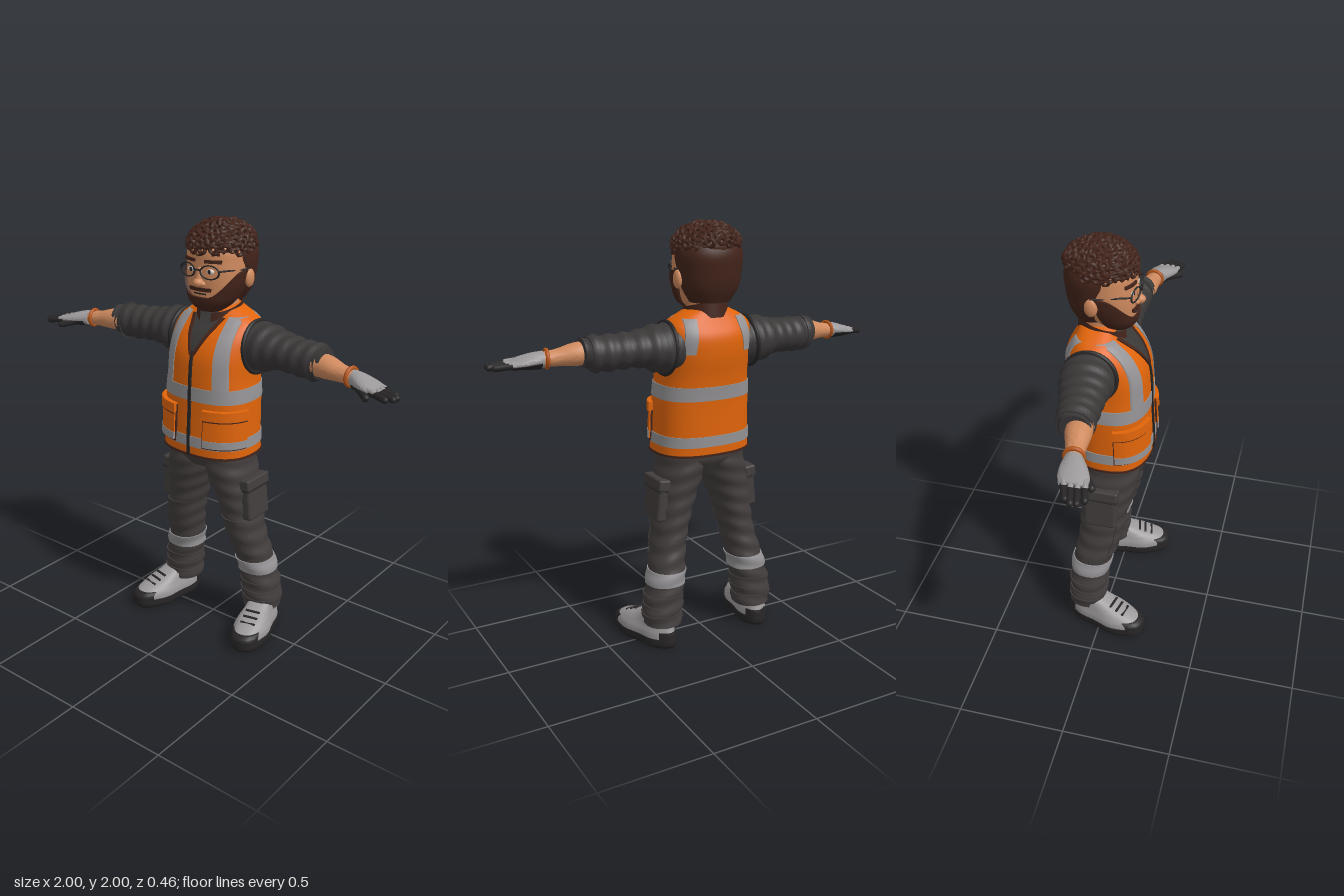
import * as THREE from 'three';
import { mergeGeometries, toCreasedNormals } from 'three/addons/utils/BufferGeometryUtils.js';
import { RoundedBoxGeometry } from 'three/addons/geometries/RoundedBoxGeometry.js';

const { sin, cos, abs, PI, min, max } = Math;
const TAU = PI * 2, lerp = THREE.MathUtils.lerp;
const paint = (name, color, side = THREE.FrontSide) => {
  const m = new THREE.MeshStandardMaterial({ color, side });
  m.name = name;
  return m;
};

// rows of [key, ...values] -> smooth function of the key
function profile(rows) {
  const c = new THREE.CubicInterpolant(rows.map(r => r[0]),
    new Float32Array(rows.flatMap(r => r.slice(1))), rows[0].length - 1);
  return k => Array.from(c.evaluate(k));
}

// surface from a grid of points
function grid(fn, nu, nv) {
  const pos = [], idx = [], w = nu + 1;
  for (let j = 0; j <= nv; j++) for (let i = 0; i <= nu; i++) pos.push(...fn(i, j));
  for (let j = 0; j < nv; j++) for (let i = 0; i < nu; i++) {
    const a = j * w + i;
    idx.push(a, a + 1, a + w + 1, a, a + w + 1, a + w);
  }
  const g = new THREE.BufferGeometry();
  g.setAttribute('position', new THREE.Float32BufferAttribute(pos, 3));
  g.setIndex(idx);
  return toCreasedNormals(g, 0.9);
}

const power = (v, n) => Math.sign(v) * abs(v) ** (2 / n);
// upright cross-sections [y, cx, cz, rx, rz]; angle 0 faces the front
function tower(rows, n = 2, fold = 0) {
  const f = profile(rows);
  return (a, y, off = 0, s = 1) => {
    const [cx, cz, rx, rz] = f(y), w = off + fold * sin(y * 75 + 2 * sin(a));
    return [cx + s * (rx + w) * power(sin(a), n), y, cz + s * (rz + w) * power(cos(a), n)];
  };
}
// sideways cross-sections [x, cy, cz, ry, rz]
function limb(rows, fold = 0) {
  const f = profile(rows);
  return (a, x, off = 0, s = 1) => {
    const [cy, cz, ry, rz] = f(x), w = off + fold * sin(x * 95 + 2 * sin(a));
    return [x, cy + s * (ry + w) * cos(a), cz + s * (rz + w) * sin(a)];
  };
}
// closed solid along a tower or limb
const solid = (P, k0, k1, off = 0, na = 32, nk = 24) => grid((i, j) => {
  const t = min(max(j - 1, 0), nk) / nk;
  return P(i === na ? 0 : i / na * TAU, lerp(k0, k1, t), off, j === 0 || j === nk + 2 ? 0 : 1);
}, na, nk + 2);
// thin raised plate; fn(u, v, offset)
const plate = (fn, t = 0.005, nu = 16, nv = 10) => grid((i, j) => {
  const edge = i === 0 || j === 0 || i === nu + 2 || j === nv + 2;
  return fn(min(max(i - 1, 0), nu) / nu, min(max(j - 1, 0), nv) / nv, edge ? -0.003 : t);
}, nu + 2, nv + 2);
const wrap = (P, a0, a1, y0, y1, t) => plate((u, v, o) => P(lerp(a0, a1, u), lerp(y0, y1, v), o), t);

const ball = (x, y, z, rx, ry, rz) => new THREE.SphereGeometry(1, 20, 14).scale(rx, ry, rz).translate(x, y, z);
const box = (x, y, z, w, h, d, r = 0.004) => new RoundedBoxGeometry(w, h, d, 2, r).translate(x, y, z);
function rod(a, b, r) {
  const p = new THREE.Vector3(...a), d = new THREE.Vector3(...b).sub(p), len = d.length();
  return new THREE.CapsuleGeometry(r, len, 4, 10)
    .applyQuaternion(new THREE.Quaternion().setFromUnitVectors(new THREE.Vector3(0, 1, 0), d.clone().normalize()))
    .translate(...p.addScaledVector(d, 0.5).toArray());
}
function mirrored(geo) {
  const g = geo.index ? geo.toNonIndexed() : geo.clone();
  for (const key of ['position', 'normal']) {
    const t = g.attributes[key], v = new THREE.Vector3(), w = new THREE.Vector3();
    for (let i = 0; i < t.count; i += 3) {
      v.fromBufferAttribute(t, i);
      t.setXYZ(i, -v.x, v.y, v.z);
      v.fromBufferAttribute(t, i + 1);
      w.fromBufferAttribute(t, i + 2);
      t.setXYZ(i + 1, -w.x, w.y, w.z);
      t.setXYZ(i + 2, -v.x, v.y, v.z);
    }
  }
  return g;
}

export function createModel() {
  const model = new THREE.Group();
  model.name = 'worker';
  const orange = paint('vest orange', 0xe0640a), shirt = paint('shirt charcoal', 0x3a3737),
    cloth = paint('trouser charcoal', 0x433d3d), silver = paint('reflective grey', 0x949294),
    grey = paint('glove and boot grey', 0x9c999b), skin = paint('skin', 0xcf8a5e),
    brown = paint('dark brown', 0x43241a, THREE.DoubleSide), black = paint('black', 0x272525),
    white = paint('eye white', 0xe6e0da), strap = paint('wristband', 0xb5561a);
  const add = (name, geo, mat) => {
    const m = new THREE.Mesh(geo, mat);
    m.name = name;
    model.add(m);
  };
  const pair = (name, geo, mat) => {
    add('left ' + name, geo, mat);
    add('right ' + name, mirrored(geo), mat);
  };

  // vest
  const N = 2.5, rows = [[0.935, 0, 0.005, 0.235, 0.18], [1.0, 0, 0.004, 0.231, 0.18], [1.2, 0, -0.005, 0.225, 0.177],
    [1.3, 0, -0.012, 0.215, 0.18], [1.42, 0, -0.03, 0.216, 0.18], [1.5, 0, -0.05, 0.214, 0.155],
    [1.55, 0, -0.062, 0.198, 0.115], [1.585, 0, -0.068, 0.145, 0.09], [1.615, 0, -0.07, 0.08, 0.075]];
  const torso = tower(rows, N), section = profile(rows);
  add('vest', solid(torso, 0.935, 1.615, 0, 64, 48), orange);
  add('waist reflective band', solid(torso, 1.2, 1.265, 0.004, 64, 4), silver);
  add('lower reflective band', solid(torso, 0.98, 1.03, 0.004, 64, 4), silver);
  add('vest hem', solid(torso, 0.933, 0.943, 0.005, 64, 2), brown);
  // panel on the front or back between slanted edges
  const panel = (side, y0, [a, b], y1, [c, d], t) => plate((u, v, o) => {
    const y = lerp(y0, y1, v), s = side > 0 ? u : 1 - u, x = lerp(lerp(a, b, s), lerp(c, d, s), v);
    const [, cz, rx, rz] = section(y), q = min(abs(x) / rx, 0.995);
    return [x, y, cz + side * (rz * (1 - q ** N) ** (1 / N) + o)];
  }, t, 8, 16);
  pair('front shoulder strip', panel(1, 1.265, [0.115, 0.178], 1.575, [0.105, 0.165]), silver);
  pair('back shoulder strip', panel(-1, 1.42, [0.125, 0.175], 1.575, [0.1, 0.155]), silver);
  add('shirt neckline', panel(1, 1.42, [-0.004, 0.004], 1.59, [-0.08, 0.08]), shirt);
  pair('neckline trim', panel(1, 1.41, [0, 0.012], 1.57, [0.07, 0.09], 0.009), brown);
  add('zip', panel(1, 0.94, [-0.008, 0.008], 1.43, [-0.007, 0.007], 0.008), black);
  pair('vest pocket edge', wrap(torso, 0.25, 1.4, 0.985, 1.165, 0.008), brown);
  pair('vest pocket', wrap(torso, 0.27, 1.38, 0.992, 1.16, 0.014), orange);
  pair('vest pocket flap shadow line', wrap(torso, 0.27, 1.38, 1.118, 1.126, 0.017), brown);
  pair('vest pocket flap', wrap(torso, 0.25, 1.4, 1.125, 1.17, 0.021), orange);
  pair('pocket reflective strip', wrap(torso, 0.27, 1.38, 0.993, 1.028, 0.016), silver);
  add('collar', grid((i, j) => {
    const a = lerp(0.3, TAU - 0.3, i / 40), v = j / 4;
    return [(0.108 - 0.008 * v) * sin(a), 1.575 + 0.07 * v - 0.028 * (1 + cos(a)), -0.05 + (0.118 - 0.008 * v) * cos(a)];
  }, 40, 4), brown);

  // sleeves, forearms and gloved hands
  const sleeve = limb([[0.13, 1.44, -0.06, 0.1, 0.1], [0.25, 1.443, -0.065, 0.11, 0.122], [0.35, 1.448, -0.055, 0.083, 0.106],
    [0.45, 1.442, -0.042, 0.08, 0.092], [0.53, 1.44, -0.033, 0.08, 0.083], [0.6, 1.448, -0.02, 0.064, 0.068]], 0.004);
  pair('sleeve', solid(sleeve, 0.13, 0.6, 0, 36, 70), shirt);
  pair('sleeve cuff', solid(sleeve, 0.54, 0.575, 0.006, 36, 6), shirt);
  pair('armhole trim', new THREE.TorusGeometry(1, 0.09, 8, 40).rotateY(PI / 2).scale(0.11, 0.118, 0.118)
    .rotateZ(0.08).translate(0.213, 1.44, -0.06), black);
  pair('forearm', solid(limb([[0.56, 1.443, -0.005, 0.055, 0.058], [0.63, 1.44, 0.002, 0.05, 0.055],
    [0.7, 1.432, 0.013, 0.038, 0.042], [0.78, 1.426, 0.025, 0.032, 0.036]]), 0.56, 0.78), skin);
  pair('wristband', new THREE.TorusGeometry(0.039, 0.009, 8, 28).rotateY(PI / 2 - 0.15).translate(0.745, 1.43, 0.02), strap);
  const hand = limb([[0.76, 1.428, 0.026, 0.037, 0.04], [0.8, 1.425, 0.036, 0.034, 0.055],
    [0.85, 1.419, 0.048, 0.026, 0.065], [0.9, 1.412, 0.058, 0.016, 0.058]]);
  pair('glove', solid(hand, 0.76, 0.9), grey);
  pair('glove palm', plate((u, v, o) => hand(lerp(PI + 1.3, PI - 1.3, 1 - u), lerp(0.775, 0.9, v), o), 0.005), black);
  const tips = [[0.965, 0.045], [0.985, 0.072], [0.983, 0.097], [0.96, 0.122]];
  pair('glove fingers', mergeGeometries([...tips.map(([x, z], i) =>
    rod([0.875, 1.414, 0.013 + i * 0.029], [x, 1.404, z], 0.0145)),
  rod([0.815, 1.41, 0.08], [0.875, 1.395, 0.125], 0.0165)]), black);
  pair('finger backs', mergeGeometries(tips.map(([x, z], i) =>
    rod([0.87, 1.42, 0.013 + i * 0.029], [lerp(0.87, x, 0.35), 1.416, lerp(0.013 + i * 0.029, z, 0.35)], 0.0125))), grey);

  // trousers
  add('trouser seat', solid(tower([[0.86, 0, 0, 0.1, 0.12], [0.9, 0, 0, 0.195, 0.142], [0.97, 0, 0, 0.2, 0.142]], 2.4), 0.86, 0.97), cloth);
  const leg = tower([[0.11, 0.25, -0.078, 0.09, 0.09], [0.2, 0.246, -0.075, 0.092, 0.091], [0.35, 0.221, -0.064, 0.086, 0.094],
    [0.5, 0.191, -0.03, 0.081, 0.102], [0.65, 0.161, -0.014, 0.088, 0.114], [0.75, 0.138, -0.005, 0.1, 0.126],
    [0.85, 0.113, 0, 0.108, 0.14], [0.95, 0.1, 0, 0.1, 0.14]], 2.2, 0.003);
  pair('trouser leg', solid(leg, 0.11, 0.95, 0, 36, 90), cloth);
  pair('ankle folds', mergeGeometries([0.14, 0.185, 0.235].map(y => solid(leg, y, y + 0.025, 0.005, 36, 6))), cloth);
  pair('leg reflective band', solid(leg, 0.31, 0.375, 0.005, 36, 8), silver);
  pair('knee panel', wrap(leg, -0.8, 0.8, 0.43, 0.61, 0.005), cloth);
  const tilt = g => g.rotateZ(0.1).translate(0.237, 0.72, -0.012);
  pair('cargo pocket', tilt(box(0, -0.01, 0, 0.055, 0.19, 0.155, 0.015)), cloth);
  pair('cargo pocket flap', tilt(box(0.004, 0.075, 0, 0.06, 0.055, 0.168, 0.01)), cloth);
  pair('cargo flap edge', tilt(box(0.003, 0.046, 0, 0.06, 0.006, 0.164, 0.002)), black);

  // work boots, toes turned out
  const boot = g => g.rotateY(0.23).translate(0.287, 0, 0.025);
  const last = P => (a, y, o, s) => {
    const [x, h, z] = P(a, y, o, s);
    return [x * (1 + 0.7 * z - 0.1 * cos(z * 18 + 0.6) ** 2), h, z];
  };
  const upper = last(tower([[0.035, 0, 0, 0.086, 0.198], [0.07, 0, -0.002, 0.085, 0.194], [0.1, 0, -0.025, 0.076, 0.162],
    [0.13, 0, -0.065, 0.07, 0.118], [0.165, 0, -0.105, 0.068, 0.075]], 2.3));
  pair('boot upper', boot(solid(upper, 0.035, 0.165, 0, 40, 20)), grey);
  pair('boot sole', boot(solid(last(tower([[0, 0, 0, 0.082, 0.192], [0.015, 0, 0, 0.09, 0.204],
    [0.045, 0, 0, 0.09, 0.205]], 2.4)), 0, 0.045, 0, 40, 6)), black);
  pair('boot toe bumper', boot(wrap(upper, -0.85, 0.85, 0.04, 0.083, 0.006)), black);
  pair('boot heel guard', boot(wrap(upper, PI - 0.7, PI + 0.7, 0.04, 0.08, 0.005)), black);
  pair('boot laces', boot(mergeGeometries([0, 1, 2].map(i =>
    box(0, 0.108 + i * 0.015, 0.105 - i * 0.032, 0.075, 0.008, 0.012, 0.003)))), black);

  // neck and head
  add('neck', new THREE.CylinderGeometry(0.075, 0.085, 0.2, 28).translate(0, 1.61, -0.06), skin);
  const head = tower([[1.597, 0, 0.015, 0.045, 0.045], [1.63, 0, 0, 0.09, 0.088], [1.7, 0, -0.03, 0.128, 0.127],
    [1.76, 0, -0.04, 0.141, 0.138], [1.82, 0, -0.045, 0.143, 0.14], [1.88, 0, -0.05, 0.138, 0.138], [1.94, 0, -0.055, 0.1, 0.1]], 2.2);
  add('head', solid(head, 1.597, 1.94, 0, 40, 30), skin);
  pair('ear', ball(0.15, 1.745, -0.07, 0.018, 0.042, 0.03), skin);
  add('nose', mergeGeometries([ball(0, 1.733, 0.106, 0.024, 0.021, 0.028), rod([0, 1.74, 0.108], [0, 1.79, 0.092], 0.013),
    ball(0.02, 1.728, 0.1, 0.013, 0.012, 0.014), ball(-0.02, 1.728, 0.1, 0.013, 0.012, 0.014)]), skin);
  add('beard', plate((u, v, o) => {
    const a = lerp(-1.65, 1.65, u), rise = THREE.MathUtils.smoothstep(abs(a), 0.3, 1.5);
    return head(a, lerp(1.597, 1.667 + 0.115 * rise, v), o);
  }, 0.012, 40, 14), brown);
  add('moustache', wrap(head, -0.42, 0.42, 1.694, 1.71, 0.008), brown);
  add('mouth', wrap(head, -0.24, 0.24, 1.679, 1.685, 0.003), black);
  pair('eye', ball(0.052, 1.785, 0.088, 0.021, 0.012, 0.008), white);
  pair('pupil', ball(0.052, 1.785, 0.094, 0.009, 0.01, 0.004), black);
  pair('eyebrow', wrap(head, 0.16, 0.72, 1.822, 1.836, 0.008), brown);

  // glasses
  pair('glasses rim', new THREE.TorusGeometry(1, 0.1, 8, 32).scale(0.046, 0.03, 0.04).rotateY(0.2).translate(0.061, 1.785, 0.104), black);
  add('glasses bridge', rod([-0.016, 1.792, 0.114], [0.016, 1.792, 0.114], 0.004), black);
  pair('glasses arm', rod([0.108, 1.793, 0.094], [0.152, 1.785, -0.07], 0.004), black);

  // hair: smooth back and sides, curly crown
  add('back hair', solid(tower([[1.64, 0, -0.095, 0.095, 0.078], [1.7, 0, -0.098, 0.132, 0.102], [1.78, 0, -0.093, 0.149, 0.123],
    [1.86, 0, -0.085, 0.155, 0.135], [1.93, 0, -0.075, 0.125, 0.115]], 2.1), 1.64, 1.93, 0, 40, 24), brown);
  add('crown hair', ball(0, 1.885, -0.065, 0.148, 0.094, 0.152), brown);
  const curls = [], up = new THREE.Vector3(0, 0, 1);
  for (let i = 0; i < 260; i++) {
    const y = 1 - 2 * (i + 0.5) / 260, r = Math.sqrt(1 - y * y), a = i * 2.39996;
    const n = new THREE.Vector3(r * cos(a), y, r * sin(a));
    if (n.y < -0.3 - 0.5 * min(n.z, 0) + 0.15 * sin(i * 5)) continue;
    curls.push(new THREE.TorusGeometry(0.015, 0.0095, 6, 9).scale(1, 0.8 + 0.25 * sin(i * 7), 1.2)
      .rotateX(0.5 * sin(i * 3)).applyQuaternion(new THREE.Quaternion().setFromUnitVectors(up, n))
      .translate(n.x * 0.149, 1.885 + n.y * 0.099, -0.065 + n.z * 0.156));
  }
  add('hair curls', mergeGeometries(curls), brown);
  return model;
}
